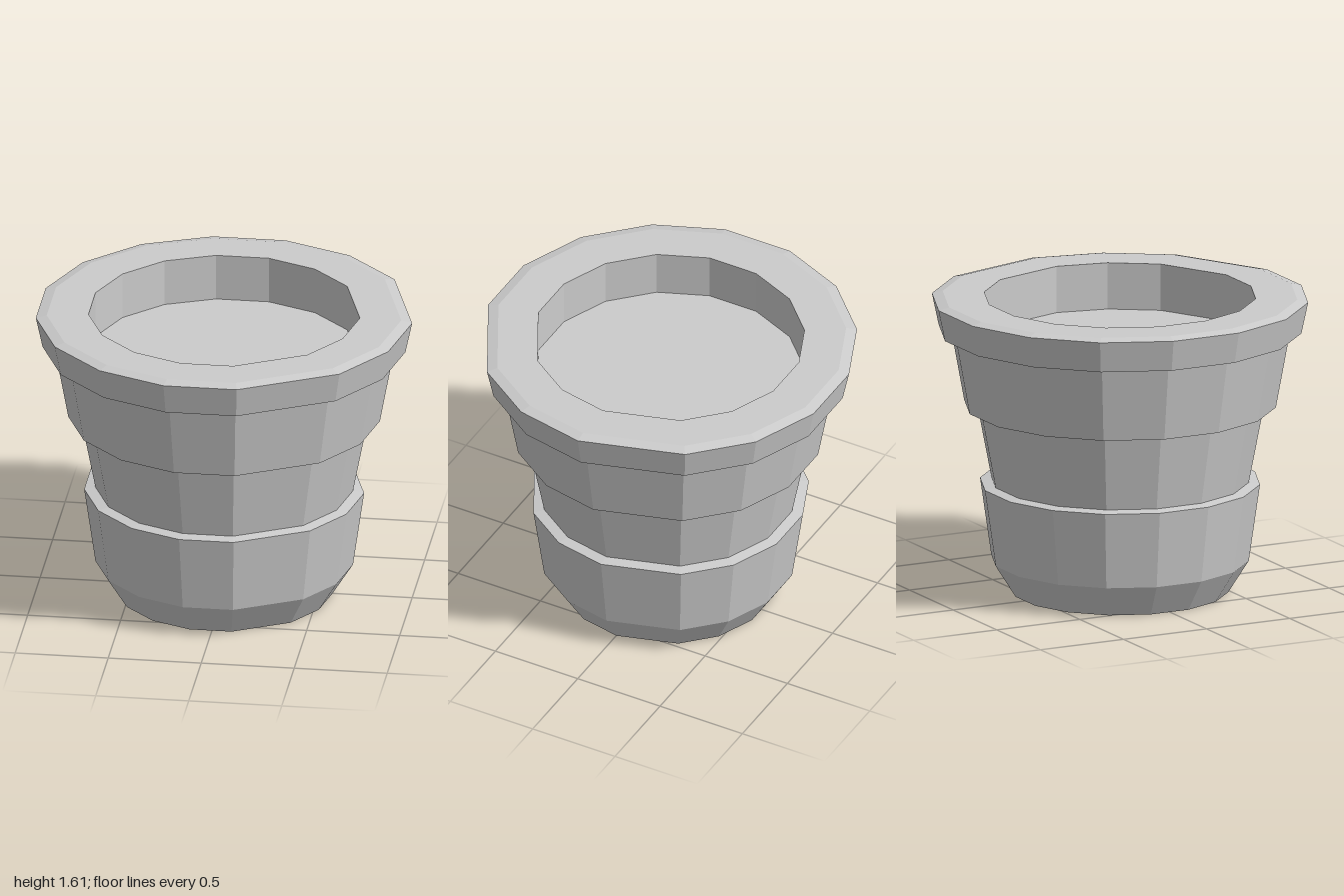
import * as THREE from 'three';

// Facet directions in degrees (0 = +z, 90 = +x): a 16-sided ring with one
// corner left out, so two facets are wider than the others.
const ANGLES = [45, 67.5, 90];
for (let k = 0; k < 12; k++) ANGLES.push(123.75 + k * 22.5);
ANGLES.push(405); // closes the ring

// Revolve a [radius, height] profile around the uneven ring, faceted
function facetedRing(name, profile, material) {
  const points = profile.map(([r, y]) => new THREE.Vector2(r, y));
  const lathe = new THREE.LatheGeometry(points, ANGLES.length - 1);
  const pos = lathe.attributes.position;
  for (let i = 0; i < pos.count; i++) {
    const angle = THREE.MathUtils.degToRad(ANGLES[Math.floor(i / points.length)]);
    const [r, y] = profile[i % points.length];
    pos.setXYZ(i, r * Math.sin(angle), y, r * Math.cos(angle));
  }
  const geometry = lathe.toNonIndexed();
  geometry.computeVertexNormals();
  const mesh = new THREE.Mesh(geometry, material);
  mesh.name = name;
  return mesh;
}

export function createModel() {
  const group = new THREE.Group();
  group.name = 'plantPot';
  const grey = new THREE.MeshStandardMaterial({ color: 0xcccccc, flatShading: true });

  // Sections follow the outside from the base up, then over the rim and inside
  const sections = {
    base: [[0, 0], [0.58, 0], [0.69, 0.175], [0.75, 0.595], [0.69, 0.605]],
    neck: [[0.69, 0.605], [0.77, 1.02]],
    collar: [[0.77, 1.02], [0.835, 1.02], [0.91, 1.43]],
    rim: [[0.91, 1.43], [0.972, 1.43], [1.008, 1.6], [0.95, 1.614], [0.727, 1.614]],
    innerWall: [[0.727, 1.614], [0.727, 1.36]],
    soil: [[0.727, 1.36], [0, 1.36]],
  };
  for (const [name, profile] of Object.entries(sections)) {
    const mesh = facetedRing(name, profile, grey);
    mesh.position.x = -0.008; // centres the uneven ring
    group.add(mesh);
  }
  return group;
}
